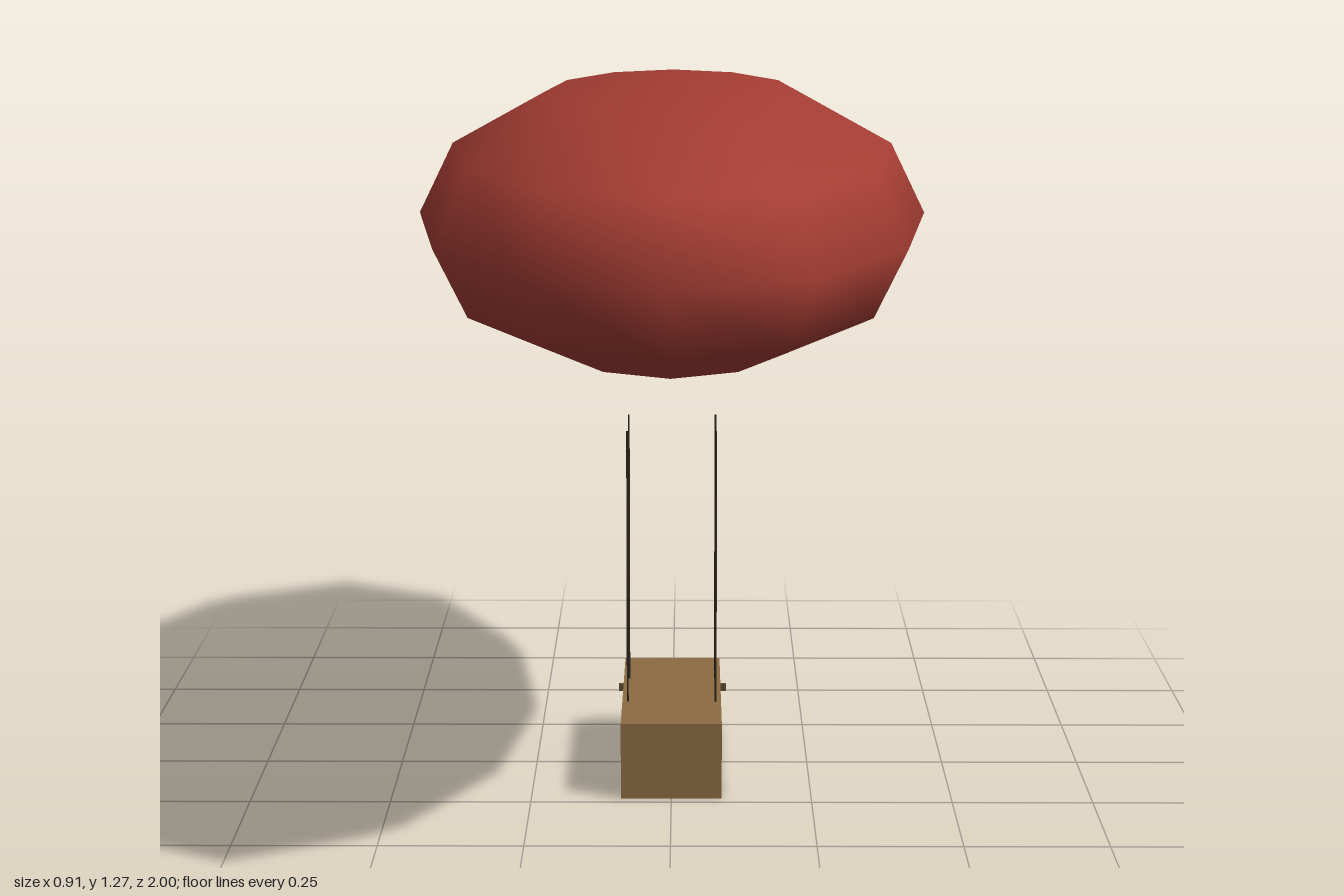
import * as THREE from 'three';

const material = (name, color) => {
  const m = new THREE.MeshStandardMaterial({ color });
  m.name = name;
  return m;
};

export function createModel() {
  const red = material('envelope red', 0xa33c33);
  const wood = material('gondola brown', 0x8b6b43);
  const rope = material('rope dark', 0x2e261d);
  const dark = material('propeller brown', 0x5c4a33);

  const model = new THREE.Group();
  model.name = 'airship';
  const add = (name, geometry, mat, x, y, z) => {
    const mesh = new THREE.Mesh(geometry, mat);
    mesh.name = name;
    mesh.position.set(x, y, z);
    model.add(mesh);
    return mesh;
  };

  // Gas envelope: a coarse sphere stretched along z, smooth shaded
  const envelope = new THREE.SphereGeometry(1, 12, 6);
  envelope.scale(0.453, 0.25, 1);
  add('envelope', envelope, red, 0, 1.025, 0);

  // Gondola box
  add('gondola', new THREE.BoxGeometry(0.18, 0.138, 0.456), wood, 0, 0.069, 0);

  // Four suspension ropes rising from the gondola
  const ropeGeometry = new THREE.CylinderGeometry(0.002, 0.002, 0.502, 6);
  for (const x of [-0.08, 0.08])
    for (const z of [-0.08, 0.08]) add('rope', ropeGeometry, rope, x, 0.389, z);

  // Propeller blade behind the gondola
  add('propeller', new THREE.BoxGeometry(0.206, 0.014, 0.008), dark, 0, 0.072, -0.26);

  return model;
}
